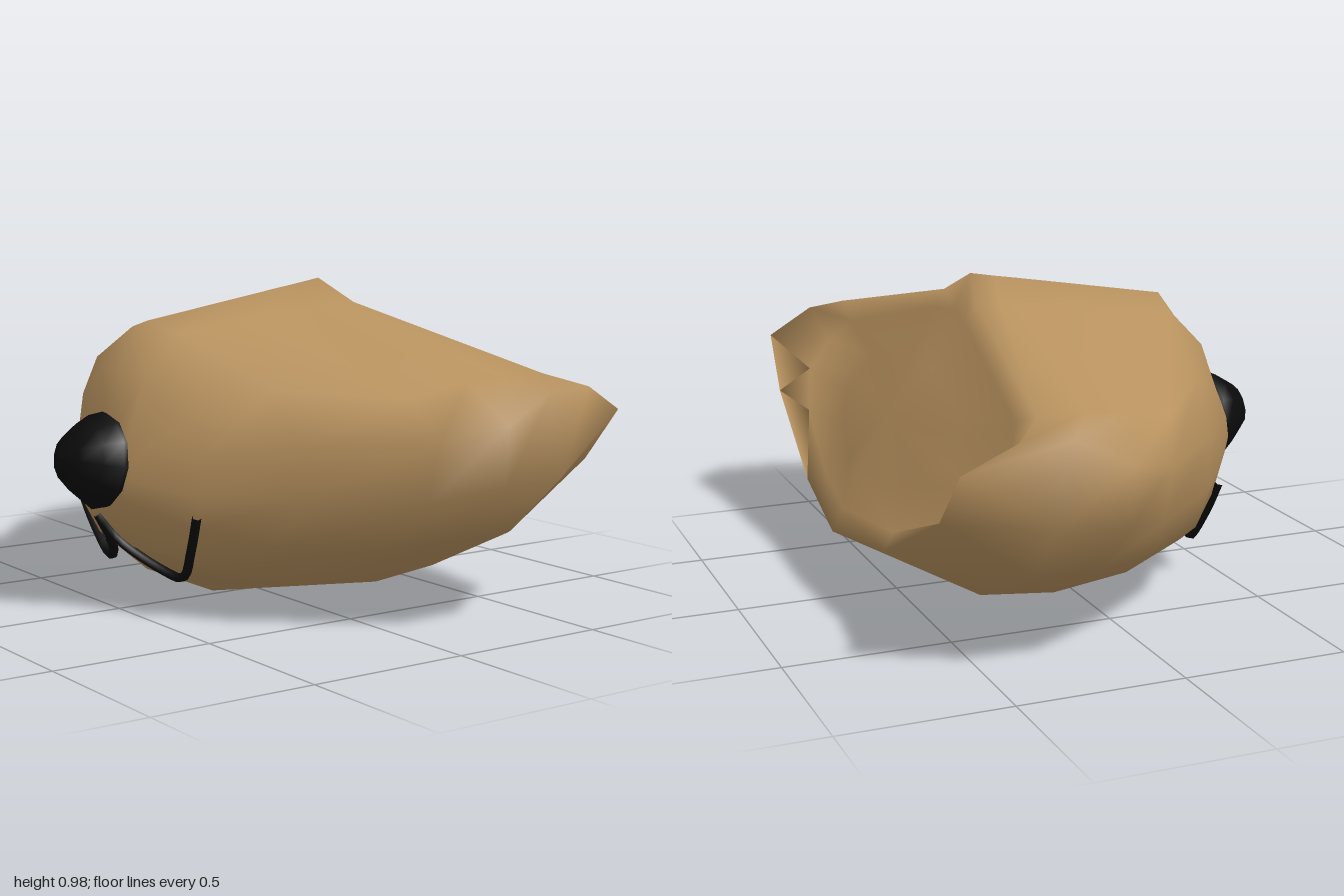
import * as THREE from 'three';

const fur = new THREE.MeshStandardMaterial({ color: 0xb8925f });
const black = new THREE.MeshStandardMaterial({ color: 0x0a0a0a });

// Half cross-sections from the top ridge, round the +z cheek, to the chin line
const SECTIONS = [
  [[-.5, .72, 0], [-.48, .72, .13], [-.435, .62, .32], [-.43, .5, .36], [-.43, .38, .36], [-.43, .29, .32], [-.45, .2, .2], [-.5, .2, 0]],
  [[-.39, .87, 0], [-.36, .84, .14], [-.28, .71, .5], [-.26, .56, .62], [-.26, .4, .62], [-.28, .25, .5], [-.33, .145, .3], [-.4, .11, 0]],
  [[-.07, .923, 0], [-.05, .88, .14], [-.04, .69, .8], [0, .58, .9], [0, .4, .85], [-.05, .24, .67], [-.1, .1, .4], [-.16, .01, 0]],
  [[.1, .951, 0], [.12, .895, .14], [.12, .735, .87], [.16, .62, 1], [.16, .45, .99], [.17, .265, .79], [.15, .08, .43], [.18, 0, 0]],
  [[.17, .962, 0], [.2, .9, .14], [.25, .745, .88], [.33, .7, .98], [.38, .46, .985], [.36, .27, .79], [.38, .1, .42], [.36, .03, 0]],
  [[.245, .975, 0], [.28, .905, .14], [.39, .745, .88], [.48, .71, .98], [.63, .63, .95], [.64, .465, .81], [.665, .265, .4], [.7, .21, 0]],
];

// Shrinking rings of the sloping back, tucked inside the cheek corners
const BACK = [
  [[.3, .87, 0], [.315, .85, .14], [.4, .7, .75], [.45, .62, .84], [.53, .53, .82], [.575, .42, .68], [.62, .3, .35], [.665, .28, 0]],
  [[.4, .72, 0], [.405, .71, .1], [.43, .65, .4], [.46, .59, .48], [.5, .52, .48], [.54, .45, .4], [.58, .39, .2], [.61, .4, 0]],
];

// Small oval ring where the muzzle meets the nose
function noseRing() {
  return Array.from({ length: 8 }, (_, j) => {
    const a = Math.PI * j / 7;
    return [-.555 + .02 * Math.cos(a), .455 + .145 * Math.cos(a), .18 * Math.sin(a)];
  });
}

// Loft the mirrored sections into one smooth closed body
function bodyGeometry() {
  const rings = [noseRing(), ...SECTIONS, ...BACK].map(half => [
    ...half,
    ...half.slice(1, -1).reverse().map(([x, y, z]) => [x, y, -z]),
  ]);
  const n = rings[0].length;
  const last = (rings.length - 1) * n;
  const front = last + n, rear = front + 1;
  const index = [];
  for (let j = 0; j < n; j++) {
    const k = (j + 1) % n;
    for (let i = 0; i < last; i += n) index.push(i + j, i + k, i + j + n, i + k, i + k + n, i + j + n);
    // Fans closing both ends
    index.push(front, k, j, rear, last + j, last + k);
  }
  const geometry = new THREE.BufferGeometry();
  const points = [...rings.flat(), [-.555, .455, 0], [.52, .56, 0]];
  geometry.setAttribute('position', new THREE.Float32BufferAttribute(points.flat(), 3));
  geometry.setIndex(index);
  geometry.computeVertexNormals();
  return geometry;
}

export function createModel() {
  const model = new THREE.Group();
  model.name = 'muzzle';

  const add = (name, geometry, material) => {
    const mesh = new THREE.Mesh(geometry, material);
    mesh.name = name;
    model.add(mesh);
    return mesh;
  };

  add('snout', bodyGeometry(), fur);

  // Blunt nose, tipped slightly upward
  const profile = [[0, -.03], [.135, -.03], [.147, .01], [.115, .06], [.07, .115], [0, .142]]
    .map(([r, h]) => new THREE.Vector2(r, h));
  const nose = add('nose', new THREE.LatheGeometry(profile, 12), black);
  nose.scale.z = 1.1;
  nose.rotation.z = THREE.MathUtils.degToRad(82);
  nose.position.set(-.56, .46, 0);

  // Mouth line: from under the nose along the jaw and up to each corner
  for (const side of [1, -1]) {
    const path = new THREE.CatmullRomCurve3([
      [-.57, .3, 0], [-.51, .215, .03], [-.43, .135, .15], [-.41, .125, .22], [-.425, .22, .29], [-.44, .33, .345],
    ].map(([x, y, z]) => new THREE.Vector3(x, y, z * side)));
    add(side > 0 ? 'leftMouthLine' : 'rightMouthLine', new THREE.TubeGeometry(path, 20, .014, 6), black);
  }

  return model;
}
